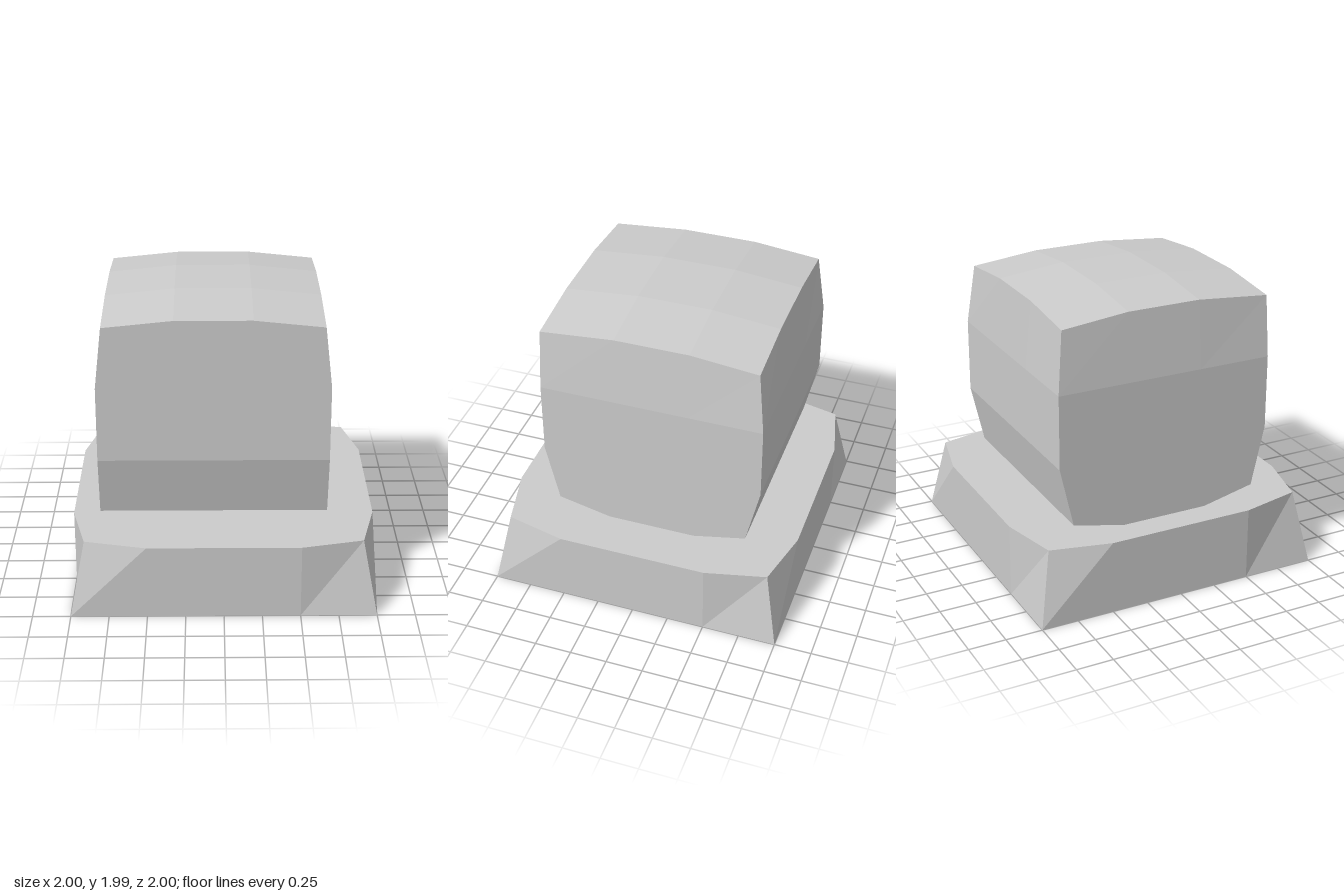
import * as THREE from 'three';

const material = new THREE.MeshStandardMaterial({ color: 0xcccccc, flatShading: true });

// A block of 3 x rows x 3 cells whose grid points (i, j, k) are placed by a rule.
function gridBlock(name, rows, place) {
  const box = new THREE.BoxGeometry(1, 1, 1, 3, rows, 3);
  const p = box.attributes.position;
  for (let n = 0; n < p.count; n++) {
    const i = Math.round((p.getX(n) + 0.5) * 3);
    const j = Math.round((p.getY(n) + 0.5) * rows);
    const k = Math.round((p.getZ(n) + 0.5) * 3);
    p.setXYZ(n, ...place(i, j, k));
  }
  const geometry = box.toNonIndexed();
  geometry.computeVertexNormals();
  const mesh = new THREE.Mesh(geometry, material);
  mesh.name = name;
  return mesh;
}

// -1 or 1 on the outer grid lines, 0 on the inner ones
const side = (i) => (i === 0 ? -1 : i === 3 ? 1 : 0);

export function createModel() {
  const group = new THREE.Group();
  group.name = 'blockOnPlinth';

  // Plinth: square foot, with the four top corners pulled inwards
  const steps = [-1, -0.5, 0.5, 1];
  group.add(gridBlock('plinth', 1, (i, j, k) => {
    const pull = j === 1 && side(i) && side(k) ? 0.905 : 1;
    return [steps[i] * pull, j * 0.5, steps[k] * pull];
  }));

  // Block: a cube with a domed top and rounded lower front and back edges
  const cell = 0.499;
  group.add(gridBlock('block', 3, (i, j, k) => {
    let x = -0.813 + i * cell;
    let y = 0.489 + j * cell;
    let z = -0.778 + k * cell;
    if (j === 3) {
      x -= side(i) * 0.046;
      if (k === 0) z += 0.046;
      y -= 0.046 * (Math.abs(side(i)) + Math.abs(side(k)));
    } else if (j === 0) {
      z -= side(k) * 0.092;
      y += Math.abs(side(k)) * 0.092;
    }
    return [x, y, z];
  }));

  return group;
}
